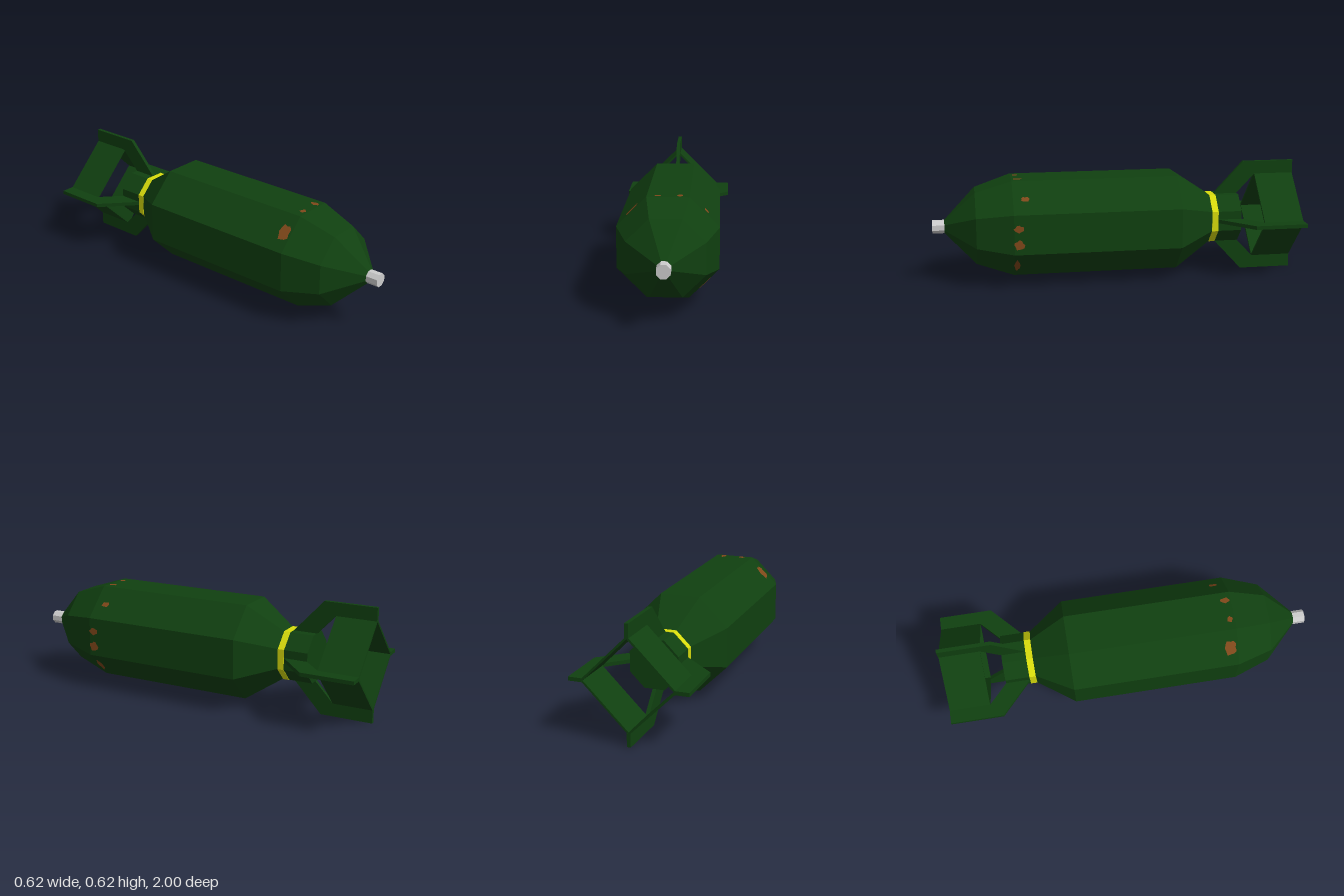
import * as THREE from 'three';

const AXIS_Y = 0.309;
const EIGHTH = Math.PI / 4;
const FLAT = 0.258; // distance from the axis to a flat of the main body

const mat = (name, color, extra = {}) => {
  const m = new THREE.MeshStandardMaterial({ color, flatShading: true, ...extra });
  m.name = name;
  return m;
};

export function createModel() {
  const green = mat('dark green paint', 0x104010);
  const yellow = mat('yellow band', 0xd8dc0c);
  const grey = mat('light grey metal', 0xcccccc);
  const rust = mat('rust', 0x80481a, { side: THREE.DoubleSide });

  const model = new THREE.Group();
  model.name = 'finnedBomb';
  const body = new THREE.Group();
  body.name = 'body';
  body.position.y = AXIS_Y;
  model.add(body);

  const add = (name, geometry, material, parent = body) => {
    const mesh = new THREE.Mesh(geometry, material);
    mesh.name = name;
    parent.add(mesh);
    return mesh;
  };

  // Eight-sided solid along z from [apothem, z] pairs, listed back to front
  const octagonal = (profile) => {
    const pts = profile.map(([a, z]) => new THREE.Vector2(a / Math.cos(EIGHTH / 2), z));
    const g = new THREE.LatheGeometry(pts, 8, EIGHTH / 2).rotateX(Math.PI / 2).toNonIndexed();
    g.computeVertexNormals();
    return g;
  };

  // Hull, tail tube, band and fuse
  add('hull', octagonal([
    [0, -0.515], [0.13, -0.515], [FLAT, -0.32], [FLAT, 0.575], [0.195, 0.77], [0.034, 0.935], [0, 0.935],
  ]), green);
  add('tailTube', octagonal([[0, -0.68], [0.13, -0.68], [0.13, -0.55], [0, -0.55]]), green);
  add('yellowBand', octagonal([[0, -0.55], [0.132, -0.55], [0.132, -0.515], [0, -0.515]]), yellow);
  add('noseFuse', octagonal([[0, 0.93], [0.034, 0.93], [0.034, 1], [0, 1]]), grey);

  // Four bent fins, outline drawn as (radius, z)
  const finShape = new THREE.Shape([
    [0.11, -0.55], [0.13, -0.55], [0.308, -0.715], [0.308, -1], [0.236, -1],
    [0.236, -0.78], [0.13, -0.68], [0.11, -0.68],
  ].map(([r, z]) => new THREE.Vector2(r, z)));
  const finGeometry = new THREE.ExtrudeGeometry(finShape, { depth: 0.02, bevelEnabled: false })
    .translate(0, 0, -0.01).rotateX(Math.PI / 2);
  for (let i = 0; i < 4; i++) {
    add('tailFin', finGeometry, green).rotation.z = i * Math.PI / 2;
  }

  // Open diamond-shaped box joining the fins
  const diamond = (r) => [[r, 0], [0, r], [-r, 0], [0, -r]].map(([x, y]) => new THREE.Vector2(x, y));
  const boxShape = new THREE.Shape(diamond(0.247));
  boxShape.holes.push(new THREE.Path(diamond(0.232)));
  add('tailBox', new THREE.ExtrudeGeometry(boxShape, { depth: 0.218, bevelEnabled: false })
    .translate(0, 0, -0.999), green);

  // Irregular rust patches: [side, offset across, z, width across, length along z]
  const patches = [
    [0, 0.033, 0.55, 0.045, 0.06],
    [0, -0.053, 0.55, 0.06, 0.06],
    [1, -0.01, 0.51, 0.035, 0.055],
    [2, 0.05, 0.55, 0.04, 0.035],
    [2, -0.06, 0.545, 0.035, 0.055],
    [3, 0, 0.535, 0.1, 0.075],
    [6, 0, 0.55, 0.07, 0.04],
    [7, 0, 0.56, 0.125, 0.035],
  ];
  patches.forEach(([side, across, z, w, len], n) => {
    const outline = [];
    for (let i = 0; i < 12; i++) {
      const a = i / 12 * Math.PI * 2;
      const k = 0.5 * (0.86 + 0.14 * Math.sin(i * 2.3 + n * 1.9));
      outline.push(new THREE.Vector2(Math.cos(a) * len * k, Math.sin(a) * w * k));
    }
    const g = new THREE.ShapeGeometry(new THREE.Shape(outline))
      .rotateY(Math.PI / 2).translate(FLAT + 0.002, across, z);
    add('rustPatch', g, rust).rotation.z = side * EIGHTH;
  });

  return model;
}
